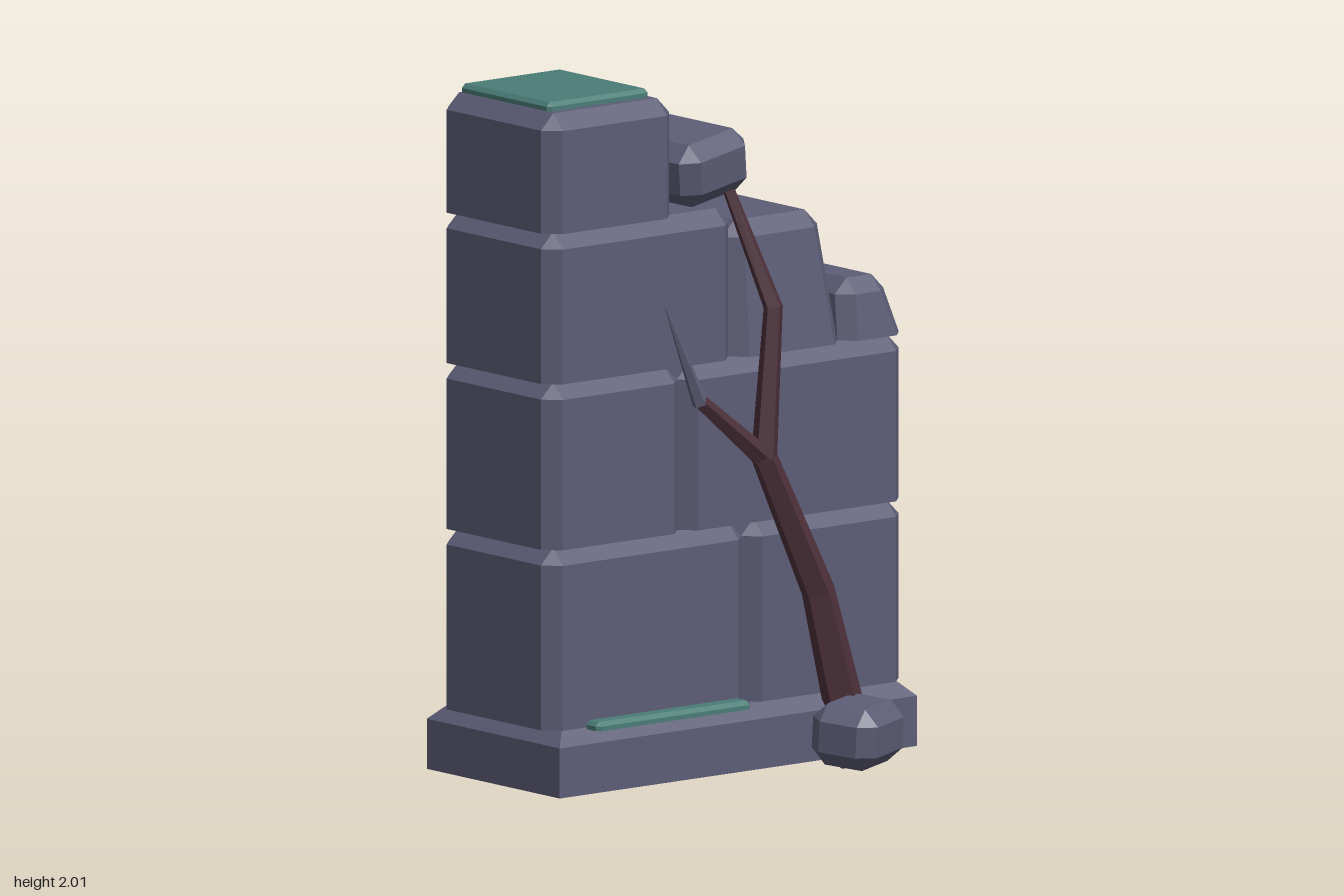
import * as THREE from 'three';
import { ConvexGeometry } from 'three/addons/geometries/ConvexGeometry.js';

const stone = new THREE.MeshStandardMaterial({ color: 0x5c5c76, side: THREE.DoubleSide });
stone.name = 'slate stone';
const moss = new THREE.MeshStandardMaterial({ color: 0x4a7c76 });
moss.name = 'teal moss';
const bark = new THREE.MeshStandardMaterial({ color: 0x4c303a });
bark.name = 'dark red bark';

const V = (x, y, z) => new THREE.Vector3(x, y, z);

function part(group, name, geometry, material) {
  const mesh = new THREE.Mesh(geometry, material);
  mesh.name = name;
  group.add(mesh);
  return mesh;
}

// Upright block: bevelled vertical and top edges, flat bottom, optional taper.
// Rectangles are [x0, x1, z0, z1]; upper is the outline at the start of the top bevel.
function blockGeometry(lower, y0, y1, bevel = 0.045, upper = lower) {
  const points = [];
  for (const i of [0, 1]) for (const j of [2, 3]) {
    const sx = i ? -bevel : bevel, sz = j === 3 ? -bevel : bevel;
    for (const [r, y] of [[lower, y0], [upper, y1 - bevel]]) {
      points.push(V(r[i] + sx, y, r[j]), V(r[i], y, r[j] + sz));
    }
    points.push(V(upper[i] + sx, y1, upper[j] + sz));
  }
  return new ConvexGeometry(points);
}

// Loose rock: box with every edge bevelled
function rockGeometry(w, h, d, b) {
  const points = [];
  for (const x of [-w / 2, w / 2]) for (const y of [-h / 2, h / 2]) for (const z of [-d / 2, d / 2]) {
    const ix = x - Math.sign(x) * b, iy = y - Math.sign(y) * b, iz = z - Math.sign(z) * b;
    points.push(V(x, iy, iz), V(ix, y, iz), V(ix, iy, z));
  }
  return new ConvexGeometry(points);
}

// Faceted stem through nodes [x, y, z, radius]
function stemGeometry(nodes, sides = 5) {
  const n = nodes.length - 1;
  const geo = new THREE.CylinderGeometry(1, 1, 1, sides, n);
  const centres = nodes.map(([x, y, z]) => V(x, y, z));
  const p = geo.attributes.position;
  for (let k = 0; k < p.count; k++) {
    const i = Math.round((p.getY(k) + 0.5) * n);
    const t = centres[Math.min(i + 1, n)].clone().sub(centres[Math.max(i - 1, 0)]).normalize();
    const u = t.clone().cross(V(0, 0, 1)).normalize();
    const w = u.clone().cross(t);
    const q = centres[i].clone()
      .addScaledVector(u, p.getX(k) * nodes[i][3])
      .addScaledVector(w, p.getZ(k) * nodes[i][3]);
    p.setXYZ(k, q.x, q.y, q.z);
  }
  const flat = geo.toNonIndexed();
  flat.computeVertexNormals();
  return flat;
}

// Plinth: bevelled on top, open underneath
function plinthGeometry() {
  const geo = new THREE.BoxGeometry(1.31, 1, 0.6, 1, 2, 1);
  const p = geo.attributes.position;
  for (let k = 0; k < p.count; k++) {
    const y = p.getY(k), inset = y > 0.25 ? 0.04 : 0;
    p.setXYZ(k,
      p.getX(k) - Math.sign(p.getX(k)) * inset,
      y > 0.25 ? 0.195 : y > -0.25 ? 0.155 : 0.01,
      p.getZ(k) - Math.sign(p.getZ(k)) * inset - 0.13);
  }
  const index = Array.from(geo.index.array);
  index.splice(30, 6); // bottom face
  geo.setIndex(index);
  const flat = geo.toNonIndexed();
  flat.computeVertexNormals();
  return flat;
}

export function createModel() {
  const group = new THREE.Group();
  group.name = 'ruinedWall';

  part(group, 'plinth', plinthGeometry(), stone);

  // Courses of wall blocks: [x0, x1, y0, y1]
  const courses = [
    [-0.655, 0.078, 0.195, 0.717], [0.078, 0.655, 0.195, 0.717],
    [-0.655, -0.157, 0.717, 1.197], [-0.157, 0.655, 0.717, 1.197],
    [-0.655, 0.03, 1.197, 1.632],
    [-0.655, -0.185, 1.632, 1.975],
  ];
  courses.forEach(([x0, x1, y0, y1], i) =>
    part(group, `wallBlock${i + 1}`, blockGeometry([x0, x1, -0.385, 0.13], y0, y1), stone));

  // Broken, tapering stones on the stepped side
  part(group, 'brokenBlock', blockGeometry([0.03, 0.43, -0.387, 0.13], 1.197, 1.58, 0.045,
    [0.042, 0.39, -0.375, 0.088]), stone);
  part(group, 'brokenStub', blockGeometry([0.43, 0.655, -0.385, 0.13], 1.197, 1.37, 0.043,
    [0.438, 0.615, -0.36, 0.108]), stone);

  // Loose rocks
  const topRock = part(group, 'perchedRock', rockGeometry(0.28, 0.185, 0.435, 0.045), stone);
  topRock.position.set(-0.01, 1.745, -0.143);
  topRock.rotation.set(0.05, 0.17, 0.12);
  const fallenRock = part(group, 'fallenRock', rockGeometry(0.245, 0.18, 0.21, 0.045), stone);
  fallenRock.position.set(0.33, 0.107, 0.302);
  fallenRock.rotation.set(0.08, 0.4, 0);

  // Moss patches
  part(group, 'topMoss', blockGeometry([-0.605, -0.235, -0.345, 0.06], 1.97, 2, 0.012), moss);
  part(group, 'ledgeMoss', blockGeometry([-0.525, 0.04, 0.1, 0.183], 0.19, 0.215, 0.012), moss);

  // Climbing vine, its side branch and dry tip
  part(group, 'vineStem', stemGeometry([
    [0.405, 0, 0.195, 0.065], [0.36, 0.19, 0.193, 0.06], [0.285, 0.5, 0.18, 0.05],
    [0.095, 0.91, 0.17, 0.04], [0.132, 1.34, 0.165, 0.029], [0.055, 1.67, 0.06, 0.018],
  ]), bark);
  part(group, 'vineBranch', stemGeometry([
    [0.1, 0.9, 0.17, 0.034], [-0.14, 1.1, 0.165, 0.022],
  ]), bark);
  part(group, 'vineTip', stemGeometry([
    [-0.135, 1.09, 0.165, 0.024], [-0.26, 1.385, 0.16, 0.002],
  ]), stone);

  return group;
}
